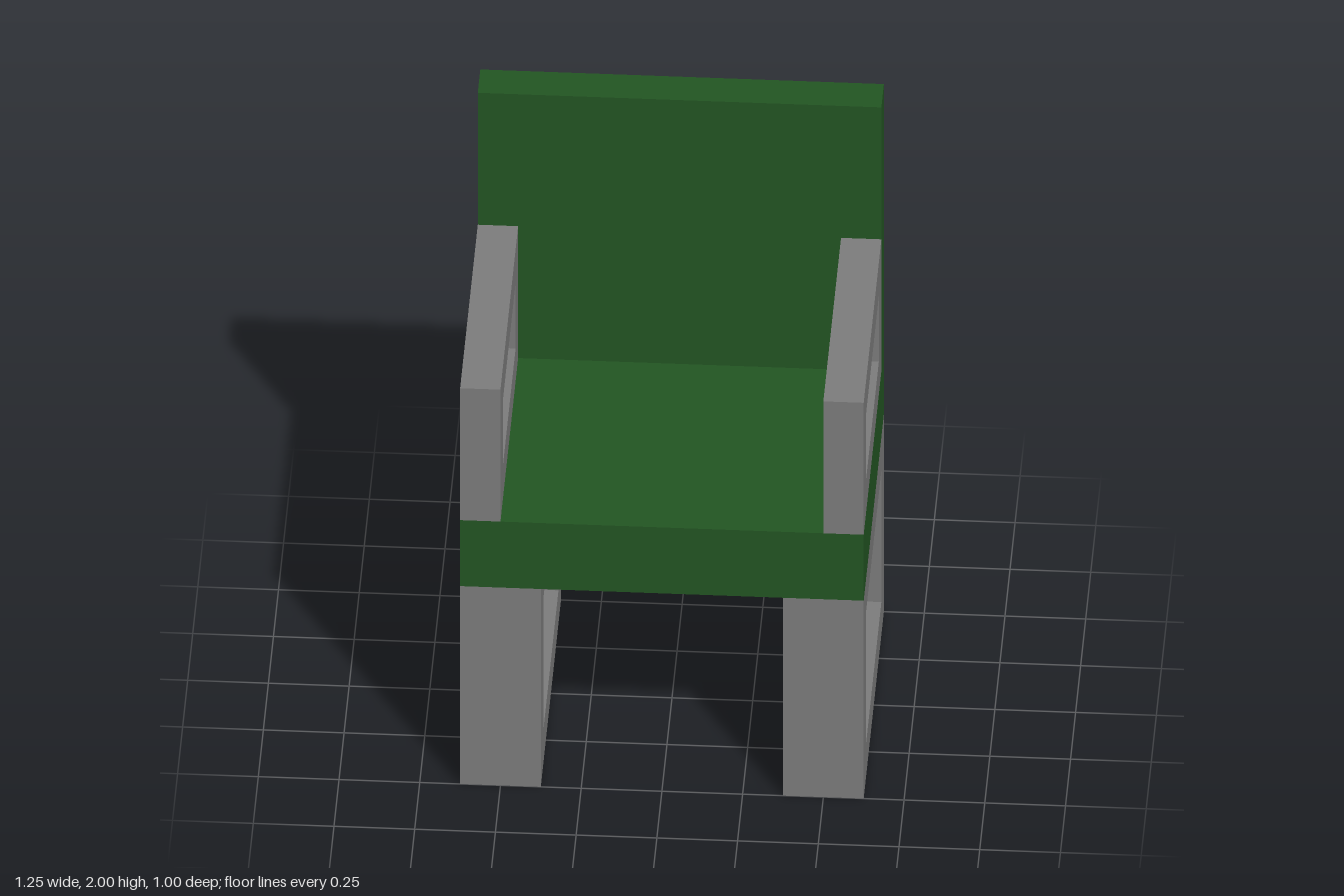
import * as THREE from 'three';

const green = new THREE.MeshStandardMaterial({ color: 0x235623 });
green.name = 'green cushion';
const grey = new THREE.MeshStandardMaterial({ color: 0x7d7d7d });
grey.name = 'grey frame';

function box(name, w, h, d, y, z) {
  const mesh = new THREE.Mesh(new THREE.BoxGeometry(w, h, d), green);
  mesh.name = name;
  mesh.position.set(0, y, z);
  return mesh;
}

// Rectangular loop standing in the z-y plane, extruded along x
function frame(name, z0, z1, y0, y1, width, x) {
  const bar = 0.125;
  const rect = (path, a, b, c, d) =>
    path.moveTo(a, c).lineTo(b, c).lineTo(b, d).lineTo(a, d).closePath();
  const shape = new THREE.Shape();
  rect(shape, z0, z1, y0, y1);
  const hole = new THREE.Path();
  rect(hole, z0 + bar, z1 - bar, y0 + bar, y1 - bar);
  shape.holes.push(hole);
  const geometry = new THREE.ExtrudeGeometry(shape, { depth: width, bevelEnabled: false });
  geometry.translate(0, 0, -width / 2).rotateY(-Math.PI / 2);
  const mesh = new THREE.Mesh(geometry, grey);
  mesh.name = name;
  mesh.position.x = x;
  return mesh;
}

export function createModel() {
  const chair = new THREE.Group();
  chair.name = 'armchair';

  // Seat and backrest
  chair.add(box('seat', 1.25, 0.25, 1, 0.875, 0));
  chair.add(box('backrest', 1.25, 1, 0.125, 1.5, -0.4375));

  // Leg frames and armrests on both sides
  for (const [side, s] of [['left', 1], ['right', -1]]) {
    chair.add(frame(side + 'LegFrame', -0.5, 0.5, 0, 0.75, 0.25, s * 0.5));
    chair.add(frame(side + 'Armrest', -0.375, 0.5, 1, 1.5, 0.125, s * 0.5625));
  }
  return chair;
}
